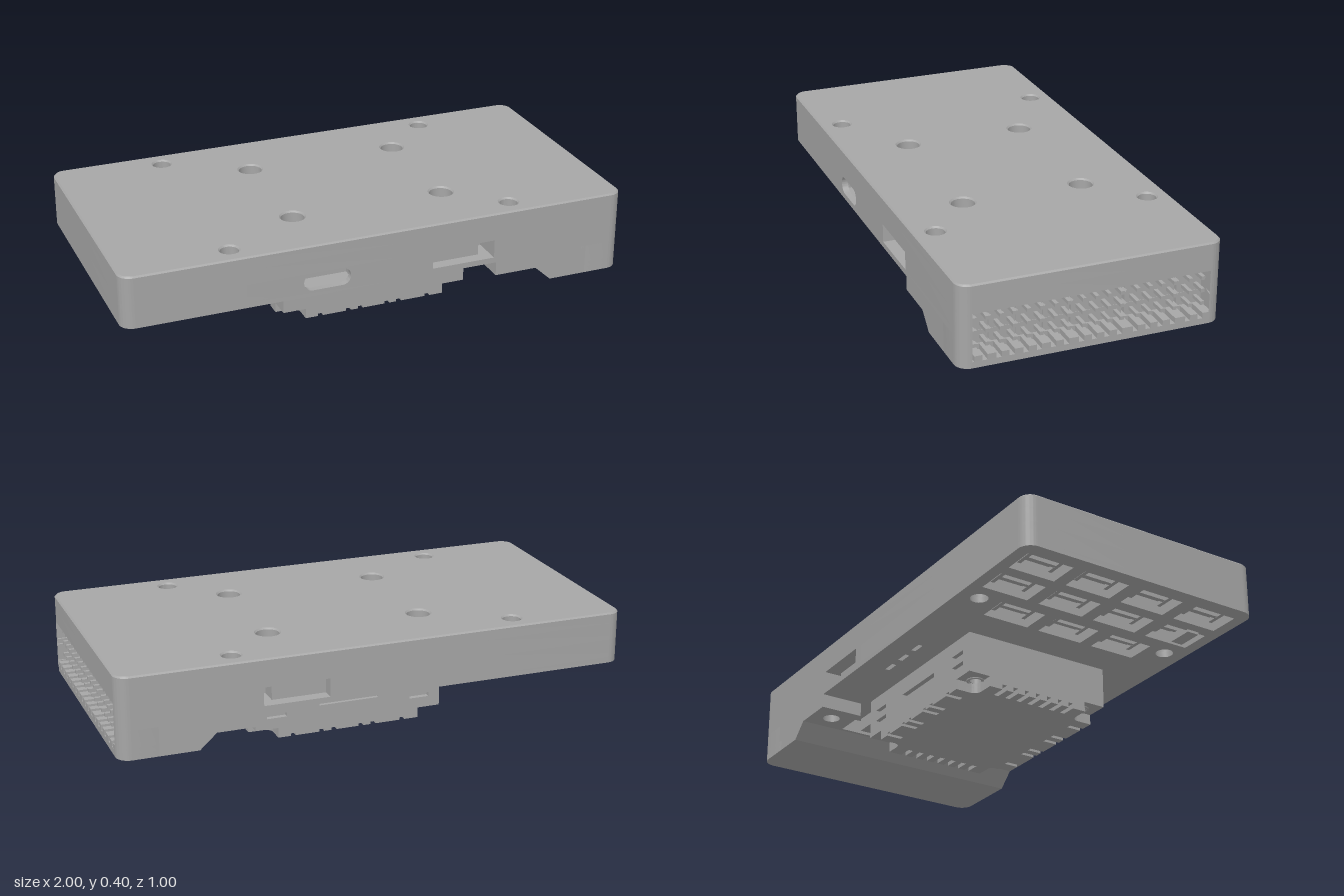
import * as THREE from 'three';
import { toCreasedNormals } from 'three/addons/utils/BufferGeometryUtils.js';

const grey = new THREE.MeshStandardMaterial({ color: 0xa6a6a6 });
const HZ = 0.502;

export function createModel() {
  const model = new THREE.Group();

  function add(name, geometry, x = 0, y = 0, z = 0, parent = model) {
    const mesh = new THREE.Mesh(geometry, grey);
    mesh.name = name;
    mesh.position.set(x, y, z);
    parent.add(mesh);
    return mesh;
  }
  const box = (name, w, h, d, x, y, z) => add(name, new THREE.BoxGeometry(w, h, d), x, y, z);
  const ring = (name, r, x, y, z) =>
    add(name, new THREE.TorusGeometry(r, 0.005, 6, 20).rotateX(Math.PI / 2), x, y, z);

  function extrude(shape, depth, bevel = 0) {
    const geometry = new THREE.ExtrudeGeometry(shape, {
      depth: depth - 2 * bevel, curveSegments: 12, bevelEnabled: bevel > 0,
      bevelSize: bevel, bevelThickness: bevel, bevelOffset: -bevel, bevelSegments: 1,
    });
    geometry.translate(0, 0, bevel);
    return toCreasedNormals(geometry, 0.4);
  }
  // Horizontal layer: shape is drawn in (x, -z) and raised from y0 to y1
  const slab = (name, shape, y0, y1, bevel) =>
    add(name, extrude(shape, y1 - y0, bevel).rotateX(-Math.PI / 2), 0, y0, 0);

  const polygon = (points) => new THREE.Shape(points.map((p) => new THREE.Vector2(...p)));
  const circle = (x, z, r) => new THREE.Path().absarc(x, -z, r, 0, Math.PI * 2, true);
  const rect = (x, y, w, h) => polygon([[-1, -1], [1, -1], [1, 1], [-1, 1]]
    .map(([a, b]) => [x + a * w / 2, y + b * h / 2]));

  // Rounded case outline; notches are [start, end, depth] along an edge
  function outline(x0, { front = [], back = [], right = [] } = {}) {
    const r = 0.05, s = new THREE.Shape(), x1 = 1;
    s.moveTo(x0 + r, -HZ);
    for (const [a, b, d] of front) {
      s.lineTo(a, -HZ); s.lineTo(a, d - HZ); s.lineTo(b, d - HZ); s.lineTo(b, -HZ);
    }
    s.absarc(x1 - r, r - HZ, r, -Math.PI / 2, 0);
    for (const [a, b, d] of right) {
      s.lineTo(x1, a); s.lineTo(x1 - d, a); s.lineTo(x1 - d, b); s.lineTo(x1, b);
    }
    s.absarc(x1 - r, HZ - r, r, 0, Math.PI / 2);
    for (const [a, b, d] of back) {
      s.lineTo(b, HZ); s.lineTo(b, HZ - d); s.lineTo(a, HZ - d); s.lineTo(a, HZ);
    }
    s.absarc(x0 + r, HZ - r, r, Math.PI / 2, Math.PI);
    s.absarc(x0 + r, r - HZ, r, Math.PI, Math.PI * 1.5);
    return s;
  }

  // Hole positions
  const mounts = [], screws = [], pockets = [];
  for (const z of [-1, 1]) {
    mounts.push([-0.57, z * 0.418], [0.55, z * 0.418]);
    screws.push([-0.26, z * 0.238], [0.35, z * 0.238]);
  }
  for (const x of [-0.88, -0.71]) for (const z of [-0.36, -0.12, 0.12, 0.36]) pockets.push([x, z]);
  for (const z of [-0.24, 0, 0.24]) pockets.push([-0.53, z]);

  const drill = (shape, list, r) => {
    for (const [x, z] of list) shape.holes.push(circle(x, z, r));
    return shape;
  };
  const openPockets = (shape) => {
    for (const [x, z] of pockets) shape.holes.push(rect(x, -z, 0.12, 0.19));
    return shape;
  };

  // Case, built in layers from the lid downwards
  const headerBay = [[-0.463, 0.463, 0.15]];
  const cardSlot = [0.2, 0.455, 0.12];
  slab('lid', drill(drill(outline(-1), mounts, 0.035), screws, 0.045), 0.345, 0.404, 0.006);
  slab('lidFloor', drill(drill(outline(-1), mounts, 0.025), screws, 0.02), 0.294, 0.36);
  slab('caseWall', openPockets(drill(outline(-1, {
    front: [[-0.335, -0.11, 0.1], cardSlot], back: [cardSlot], right: headerBay,
  }), mounts, 0.034)), 0.222, 0.294);
  const underside = openPockets(drill(outline(-1, { right: headerBay }), mounts, 0.034));
  for (const x of [-0.1, 0, 0.1]) underside.holes.push(rect(x, 0.4, 0.055, 0.018));
  slab('underside', underside, 0.2, 0.222);

  // Screw heads in the counterbores and under the hanging module
  for (const [x, z] of screws) {
    ring('screwRing', 0.024, x, 0.361, z);
    ring('moduleScrewRing', 0.03, x, 0.04, z);
  }

  // Front port with a rounded opening
  const port = rect(-0.2225, 0.258, 0.225, 0.072);
  const opening = new THREE.Path();
  opening.absarc(-0.281, 0.257, 0.034, Math.PI / 2, Math.PI * 1.5);
  opening.absarc(-0.164, 0.257, 0.034, -Math.PI / 2, Math.PI / 2);
  port.holes.push(opening);
  add('portPanel', extrude(port, 0.025), 0, 0, HZ - 0.025);

  // Sockets in the side slots
  for (const s of [-1, 1]) box('slotSocket', 0.21, 0.06, 0.07, 0.305, 0.252, s * 0.42);

  // Connectors in the underside pockets
  for (const [x, z] of pockets) {
    box('connectorBody', 0.07, 0.06, 0.15, x, 0.265, z);
    for (const s of [-1, 1]) box('connectorCheek', 0.085, 0.025, 0.015, x, 0.232, z + s * 0.065);
    box('connectorRib', 0.015, 0.03, 0.12, x, 0.235, z);
  }
  box('connectorTab', 0.1, 0.05, 0.05, -0.73, 0.215, 0.39);

  // Column positions of the pin header, in pairs
  const columns = [0.438, 0.337, 0.236, 0.133, 0.027, -0.07, -0.18, -0.277, -0.386]
    .flatMap((z) => [z, z - 0.049]);

  // Deep end: sloped foot, bottom plate with a row of small notches, cheeks
  const foot = polygon([[0.62, 0.2], [0.62, 0.145], [0.635, 0.145], [0.7, 0.086],
    [0.85, 0.086], [0.85, 0.2]]);
  add('foot', extrude(foot, 2 * HZ), 0, 0, -HZ);
  slab('footPlate', outline(0.78), 0.086, 0.11);
  const notches = columns.map((z) => [-z - 0.027, -z - 0.007, 0.08]);
  slab('notchedPlate', outline(0.78, { right: notches }), 0.11, 0.131);
  slab('footCheeks', outline(0.78, { right: headerBay }), 0.131, 0.2);

  // Mounting pads beside the deep end
  for (const s of [-1, 1]) {
    const pad = drill(rect(0.55, -s * 0.416, 0.17, 0.172), [[0.55, s * 0.418]], 0.034);
    slab('mountPad', pad, 0.145, 0.2);
  }
  for (const z of [-0.14, 0.14]) box('innerConnector', 0.14, 0.055, 0.23, 0.53, 0.175, z);

  // Pin header in the right end
  const header = new THREE.Group();
  header.name = 'pinHeader';
  model.add(header);
  const h = 0.0245, c = 0.009;
  const cell = polygon([[-h, c - h], [c - h, -h], [h - c, -h], [h, c - h],
    [h, h - c], [h - c, h], [c - h, h], [-h, h - c]]);
  const cellGeo = extrude(cell, 0.07).rotateY(Math.PI / 2);
  const pinGeo = new THREE.BoxGeometry(0.07, 0.014, 0.014);
  for (const z of columns) {
    for (const y of [0.16, 0.21, 0.259]) {
      add('pinHousing', cellGeo, 0.85, y, z, header);
      add('pin', pinGeo, 0.945, y, z, header);
    }
  }

  // Hanging module: core, walls, cap with cut corners and fins
  const cx = 0.05, hx = 0.375, hz = 0.305;
  slab('moduleCore', drill(rect(cx, 0, 2 * hx, 0.57), screws, 0.022), 0.04, 0.2);
  box('moduleFrontWall', 2 * hx, 0.16, 0.02, cx, 0.12, hz - 0.01);
  const wall = rect(cx, 0.12, 2 * hx, 0.16);
  wall.holes.push(rect(cx, 0.12, 0.24, 0.025));
  for (const x of [-0.24, 0.34]) for (const y of [0.09, 0.135]) wall.holes.push(rect(x, y, 0.08, 0.016));
  add('moduleBackWall', extrude(wall, 0.02), 0, 0, -hz);

  // Cap outline, side by side; grooves are centres along the long and short sides
  function capShape(longGrooves, shortGrooves) {
    const pts = [];
    for (let k = 0; k < 4; k++) {
      const a = k * Math.PI / 2, L = k % 2 ? hz : hx, N = k % 2 ? hx : hz;
      const put = (t, n) => pts.push([
        cx + t * Math.cos(a) + n * Math.sin(a), t * Math.sin(a) - n * Math.cos(a)]);
      put(0.09 - L, N);
      for (const t of k % 2 ? shortGrooves : longGrooves) {
        put(t - 0.01, N); put(t - 0.01, N - 0.06); put(t + 0.01, N - 0.06); put(t + 0.01, N);
      }
      put(L - 0.09, N);
      for (let i = 0; i <= 6; i++) {
        const f = i * Math.PI / 12;
        put(L - 0.06 - 0.03 * Math.cos(f), N - 0.06 - 0.03 * Math.sin(f));
      }
    }
    return polygon(pts);
  }
  const longs = [-0.225, -0.11, -0.06, 0.05, 0.1, 0.22];
  const shorts = [-0.15, -0.1, -0.05, 0, 0.05, 0.1, 0.15];
  slab('moduleCap', capShape([], []), 0.02, 0.04);
  slab('moduleFinRoots', capShape([], shorts), 0.01, 0.02);
  slab('moduleFins', capShape(longs, shorts), 0, 0.01);

  return model;
}
